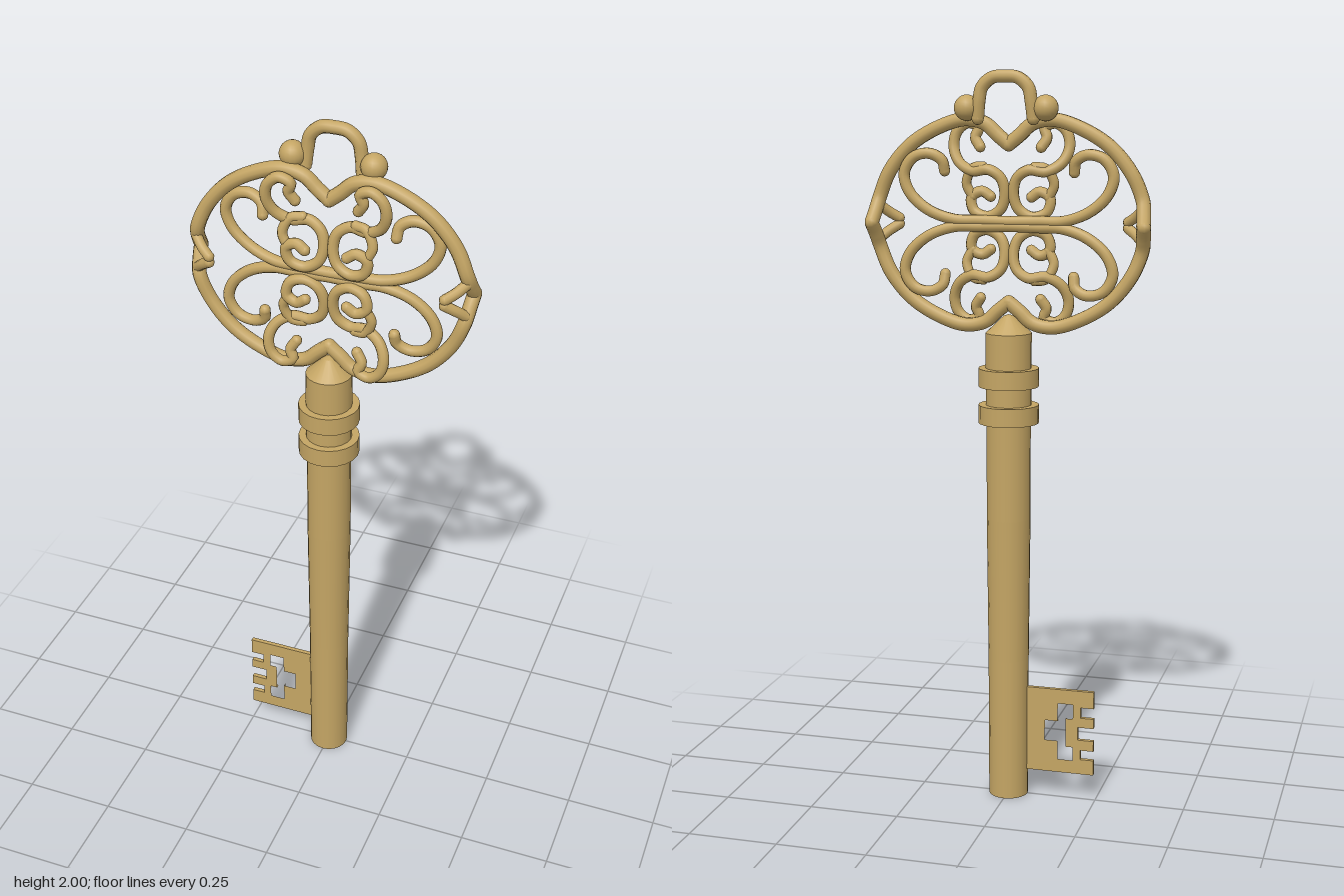
import * as THREE from 'three';

const brass = new THREE.MeshStandardMaterial({ color: 0xc4a564 });
const MID = 1.6; // height of the bow's mirror line

function add(parent, name, geometry, x = 0, y = 0, z = 0) {
  const mesh = new THREE.Mesh(geometry, brass);
  mesh.name = name;
  mesh.position.set(x, y, z);
  parent.add(mesh);
  return mesh;
}

// Round bar through the points, closed by a small dome at each end
function bar(parent, name, points, radius, segments = 56) {
  const path = new THREE.CatmullRomCurve3(points.map((p) => new THREE.Vector3(...p)), false, 'centripetal');
  const group = new THREE.Group();
  group.name = name;
  parent.add(group);
  add(group, name + 'Rod', new THREE.TubeGeometry(path, segments, radius, 10));
  for (const p of [points[0], points[points.length - 1]]) {
    add(group, name + 'End', new THREE.SphereGeometry(radius, 10, 8), ...p);
  }
}

// Points of one bow quarter, heights relative to MID
const frame = [
  [0, 0.208, 0], [0.03, 0.232, 0], [0.065, 0.262, 0], [0.12, 0.272, 0], [0.19, 0.252, 0],
  [0.27, 0.205, 0], [0.33, 0.135, 0], [0.36, 0.065, 0], [0.366, 0.03, -0.018], [0.37, 0, -0.04],
];
const sideBarb = [[0.362, 0.045, 0.002], [0.34, 0.025, 0.02], [0.315, 0.008, 0.034]];
const outerScroll = [
  [0, 0.006, 0], [0.08, 0.008, 0], [0.15, 0.01, -0.005], [0.22, 0.035, -0.012], [0.27, 0.08, -0.014],
  [0.285, 0.13, -0.014], [0.26, 0.172, -0.014], [0.215, 0.183, -0.012], [0.182, 0.165, -0.006], [0.177, 0.137, 0.002],
];
const innerScroll = [
  [0.083, 0.2, 0.018], [0.098, 0.225, 0.024], [0.09, 0.25, 0.028], [0.12, 0.262, 0.03], [0.15, 0.24, 0.03],
  [0.158, 0.2, 0.026], [0.14, 0.16, 0.014], [0.1, 0.138, 0.002], [0.055, 0.142, -0.004],
  [0.022, 0.12, 0], [0.012, 0.078, 0.005], [0.025, 0.038, 0.01], [0.062, 0.018, 0.014],
  [0.1, 0.032, 0.018], [0.108, 0.068, 0.02], [0.08, 0.084, 0.022], [0.056, 0.07, 0.024],
];
// Curl branching from the inner scroll towards the centre
const centreCurl = [
  [0.105, 0.07, 0.018], [0.12, 0.105, 0.014], [0.1, 0.145, 0.006], [0.07, 0.15, 0],
];

export function createModel() {
  const key = new THREE.Group();
  key.name = 'key';

  // Shaft with two collars and a conical tip
  const profile = [
    [0, 0], [0.055, 0], [0.056, 0.4], [0.06, 0.8], [0.06, 1.065], [0.082, 1.065], [0.082, 1.115],
    [0.062, 1.115], [0.062, 1.165], [0.082, 1.165], [0.082, 1.215], [0.062, 1.215],
    [0.062, 1.31], [0.015, 1.355], [0, 1.36],
  ];
  const shaft = new THREE.Group();
  shaft.name = 'shaft';
  key.add(shaft);
  for (let i = 0; i < profile.length - 1; i++) {
    const pair = [profile[i], profile[i + 1]].map((p) => new THREE.Vector2(...p));
    add(shaft, 'shaftSection', new THREE.LatheGeometry(pair, 20));
  }

  // Bit plate with notched edge and cross-shaped window
  const edge = [
    [-0.04, 0.075], [-0.245, 0.075], [-0.245, 0.118], [-0.208, 0.118], [-0.208, 0.145],
    [-0.245, 0.145], [-0.245, 0.175], [-0.2, 0.175], [-0.2, 0.212], [-0.245, 0.212],
    [-0.245, 0.24], [-0.208, 0.24], [-0.208, 0.27], [-0.245, 0.27], [-0.245, 0.318], [-0.04, 0.318],
  ];
  const hole = [
    [-0.186, 0.113], [-0.186, 0.152], [-0.166, 0.152], [-0.166, 0.235], [-0.186, 0.235], [-0.186, 0.277],
    [-0.143, 0.277], [-0.143, 0.225], [-0.106, 0.225], [-0.106, 0.167], [-0.143, 0.167], [-0.143, 0.113],
  ];
  const toVectors = (list) => list.map((p) => new THREE.Vector2(...p));
  const plate = new THREE.Shape(toVectors(edge));
  plate.holes.push(new THREE.Path(toVectors(hole)));
  add(key, 'bit', new THREE.ExtrudeGeometry(plate, { depth: 0.012, bevelEnabled: false }), 0, 0, -0.006);

  // Bow: four mirrored quarters of frame and scrolls
  const bow = new THREE.Group();
  bow.name = 'bow';
  key.add(bow);
  for (const sx of [1, -1]) {
    for (const sy of [1, -1]) {
      const place = (list) => list.map(([x, y, z]) => [sx * x, MID + sy * y, z]);
      bar(bow, 'frame', place(frame), 0.019);
      bar(bow, 'sideBarb', place(sideBarb), 0.014, 12);
      bar(bow, 'outerScroll', place(outerScroll), 0.015);
      bar(bow, 'innerScroll', place(innerScroll), 0.0145, 90);
      bar(bow, 'centreCurl', place(centreCurl), 0.013, 20);
    }
  }

  // Hanging loop held by two balls
  bar(key, 'hangingLoop', [
    [-0.075, 1.875, -0.033], [-0.07, 1.92, -0.037], [-0.062, 1.955, -0.037], [-0.035, 1.979, -0.037],
    [0, 1.983, -0.037], [0.035, 1.979, -0.037], [0.062, 1.955, -0.037], [0.07, 1.92, -0.037], [0.075, 1.875, -0.033],
  ], 0.017);
  for (const sx of [1, -1]) {
    add(key, 'loopBall', new THREE.SphereGeometry(0.034, 18, 14), sx * 0.106, 1.902, -0.027);
  }
  return key;
}
